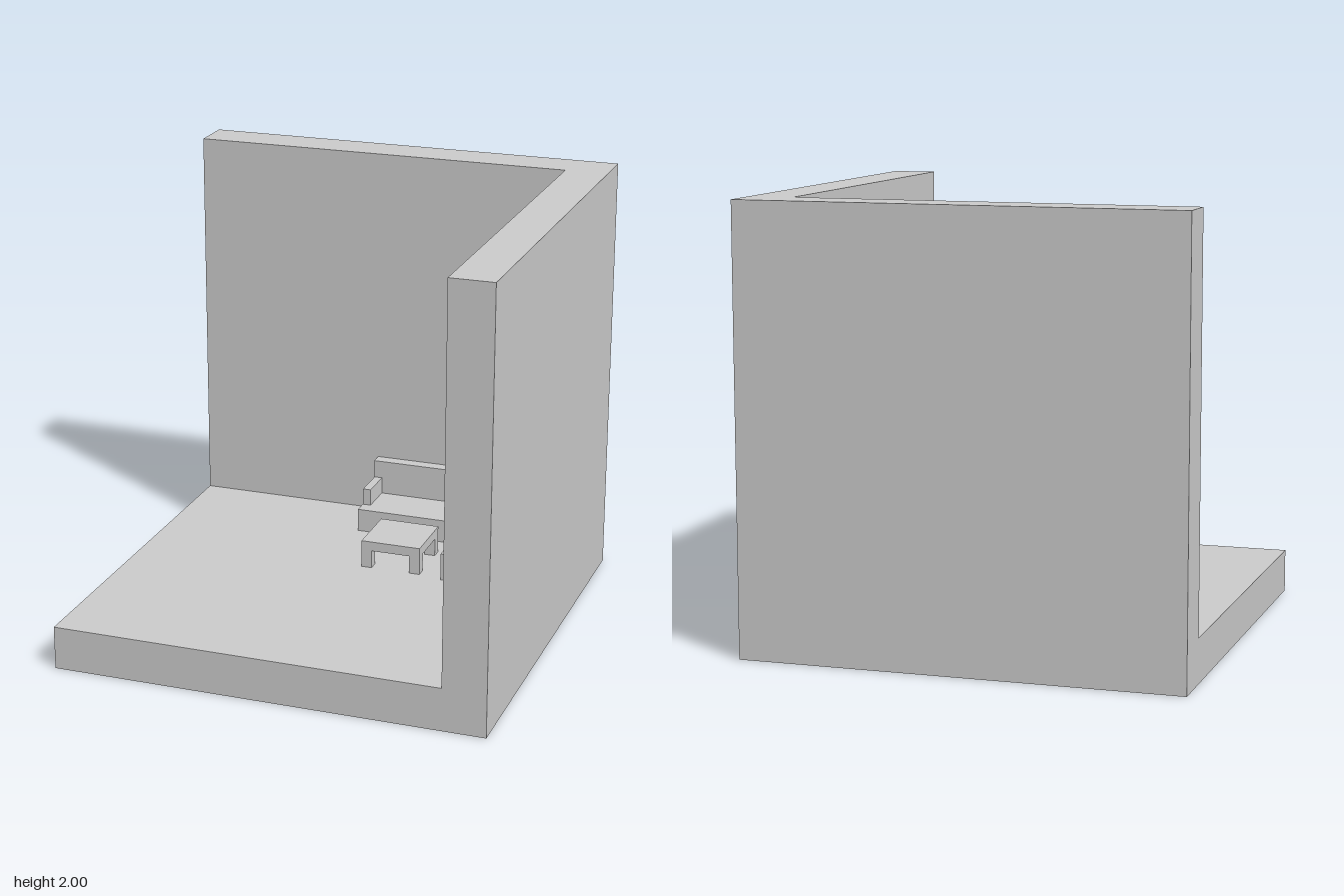
import * as THREE from 'three';

const material = new THREE.MeshStandardMaterial({ color: 0xcccccc, flatShading: true });

// Box given by its extents along each axis
function block(parent, name, [x0, x1], [y0, y1], [z0, z1]) {
  const mesh = new THREE.Mesh(new THREE.BoxGeometry(x1 - x0, y1 - y0, z1 - z0), material);
  mesh.position.set((x0 + x1) / 2, (y0 + y1) / 2, (z0 + z1) / 2);
  mesh.name = name;
  parent.add(mesh);
  return mesh;
}

function part(parent, name) {
  const group = new THREE.Group();
  group.name = name;
  parent.add(group);
  return group;
}

export function createModel() {
  const model = new THREE.Group();
  model.name = 'livingRoomCorner';
  const floorY = 0.2;

  // Room shell: one L-shaped wall extruded upwards from the floor slab
  const room = part(model, 'room');
  block(room, 'floor', [-1, 1], [0, floorY], [-1, 1]);
  const plan = new THREE.Shape([
    [-1, 1], [-1, 0.8], [0.8, 0.8], [0.8, -1], [1, -1], [1, 1],
  ].map(([x, y]) => new THREE.Vector2(x, y)));
  const walls = new THREE.Mesh(
    new THREE.ExtrudeGeometry(plan, { depth: 2 - floorY, bevelEnabled: false }), material);
  walls.rotation.x = -Math.PI / 2;
  walls.position.y = floorY;
  walls.name = 'walls';
  room.add(walls);

  // Sofa against the back wall
  const sofa = part(model, 'sofa');
  block(sofa, 'sofaSeat', [-0.1, 0.505], [floorY, 0.31], [-0.8, -0.5]);
  block(sofa, 'sofaBack', [-0.1, 0.5], [0.31, 0.475], [-0.8, -0.74]);
  for (const x of [-0.098, 0.467]) {
    block(sofa, 'sofaArm', [x, x + 0.038], [0.31, 0.39], [-0.74, -0.57]);
  }

  // Square coffee table on four corner legs
  const table = part(model, 'coffeeTable');
  block(table, 'tableTop', [0.06, 0.345], [0.285, 0.33], [-0.38, -0.095]);
  for (const x of [0.06, 0.295]) {
    for (const z of [-0.38, -0.145]) {
      block(table, 'tableLeg', [x, x + 0.05], [floorY, 0.285], [z, z + 0.05]);
    }
  }

  // Armchair with its back to the side wall
  const chair = part(model, 'armchair');
  block(chair, 'chairSeat', [0.455, 0.68], [floorY, 0.33], [-0.345, -0.07]);
  block(chair, 'chairBack', [0.68, 0.765], [floorY, 0.525], [-0.345, -0.07]);
  for (const z of [-0.345, -0.11]) {
    block(chair, 'chairArm', [0.545, 0.68], [0.33, 0.42], [z, z + 0.04]);
  }

  return model;
}
